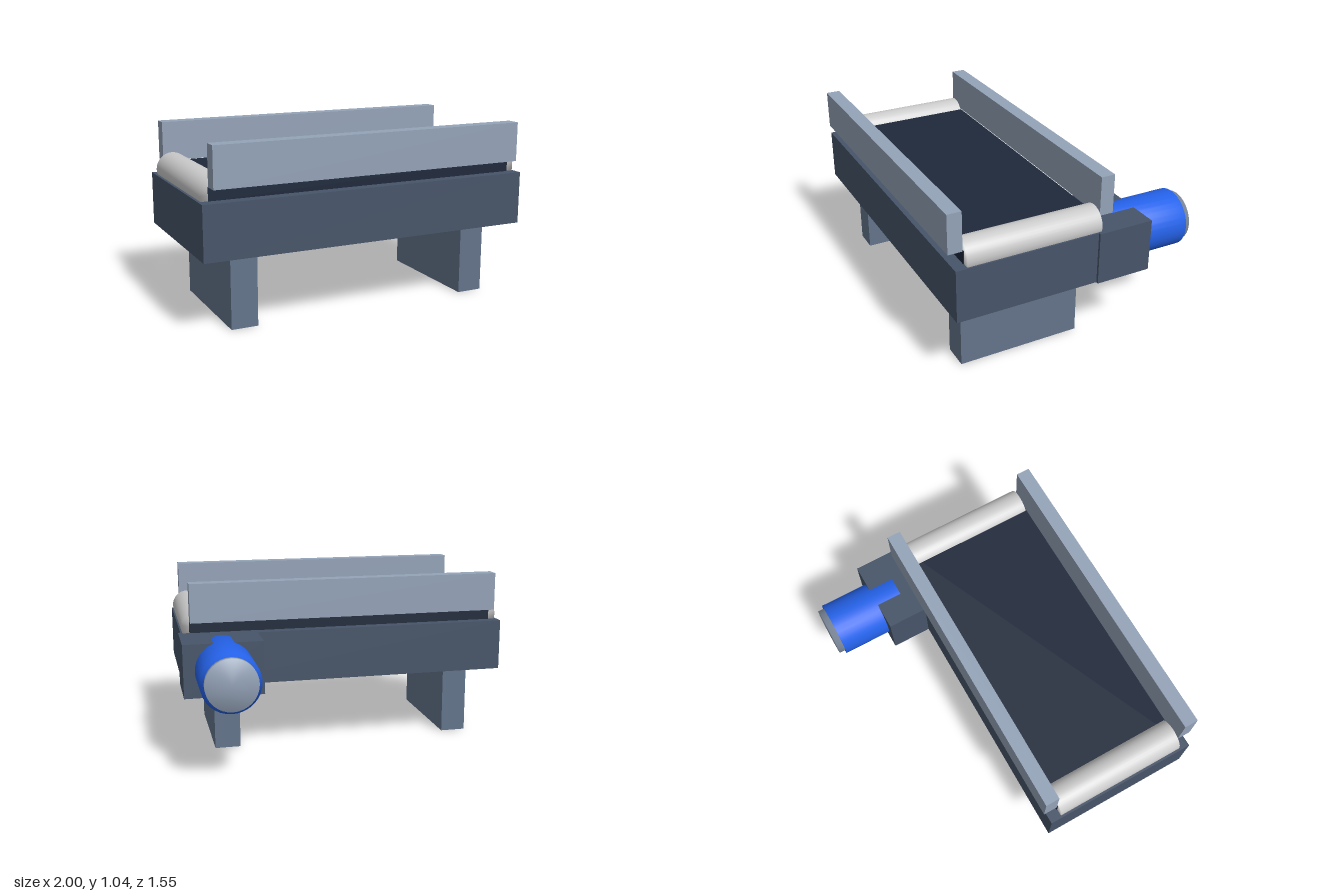
import * as THREE from 'three';
import { mergeVertices } from 'three/addons/utils/BufferGeometryUtils.js';

const mat = (color) => new THREE.MeshStandardMaterial({ color });

export function createModel() {
  const model = new THREE.Group();
  model.name = 'conveyor';
  const frameMat = mat(0x475569), legMat = mat(0x64748b), railMat = mat(0x94a3b8);
  const beltMat = mat(0x1e293b), rollerMat = mat(0xcccccc), motorMat = mat(0x2563eb);

  // Box given by its extents on each axis
  const box = (name, material, [x0, x1], [y0, y1], [z0, z1]) => {
    const mesh = new THREE.Mesh(new THREE.BoxGeometry(x1 - x0, y1 - y0, z1 - z0), material);
    mesh.position.set((x0 + x1) / 2, (y0 + y1) / 2, (z0 + z1) / 2);
    mesh.name = name;
    model.add(mesh);
  };

  // Cylinder lying along z, with normals blended over its rims
  const drum = (name, material, radius, x, y, [z0, z1]) => {
    let geo = new THREE.CylinderGeometry(radius, radius, z1 - z0, 32);
    geo.deleteAttribute('normal');
    geo.deleteAttribute('uv');
    geo = mergeVertices(geo);
    geo.rotateX(Math.PI / 2);
    geo.computeVertexNormals();
    const mesh = new THREE.Mesh(geo, material);
    mesh.position.set(x, y, (z0 + z1) / 2);
    mesh.name = name;
    model.add(mesh);
  };

  // Bed and belt
  const length = [-0.945, 0.935];
  box('frame', frameMat, [-1, 0.985], [0.425, 0.735], [-0.19, 0.752]);
  box('belt', beltMat, length, [0.735, 0.81], [-0.125, 0.687]);

  // Guide rails along both sides
  box('frontRail', railMat, length, [0.81, 1.04], [0.689, 0.772]);
  box('backRail', railMat, length, [0.81, 1.04], [-0.212, -0.129]);

  // Legs
  box('rightLeg', legMat, [-0.82, -0.665], [0, 0.425], [-0.087, 0.649]);
  box('leftLeg', legMat, [0.646, 0.801], [0, 0.425], [-0.087, 0.649]);

  // End rollers
  drum('rightRoller', rollerMat, 0.096, -0.894, 0.764, [-0.12, 0.682]);
  drum('leftRoller', rollerMat, 0.096, 0.884, 0.764, [-0.12, 0.682]);

  // Drive unit at the back
  box('gearbox', frameMat, [0.54, 1], [0.424, 0.736], [-0.433, -0.097]);
  drum('motor', motorMat, 0.168, 0.767, 0.579, [-0.735, -0.276]);
  drum('motorCap', railMat, 0.147, 0.767, 0.579, [-0.773, -0.725]);

  return model;
}
